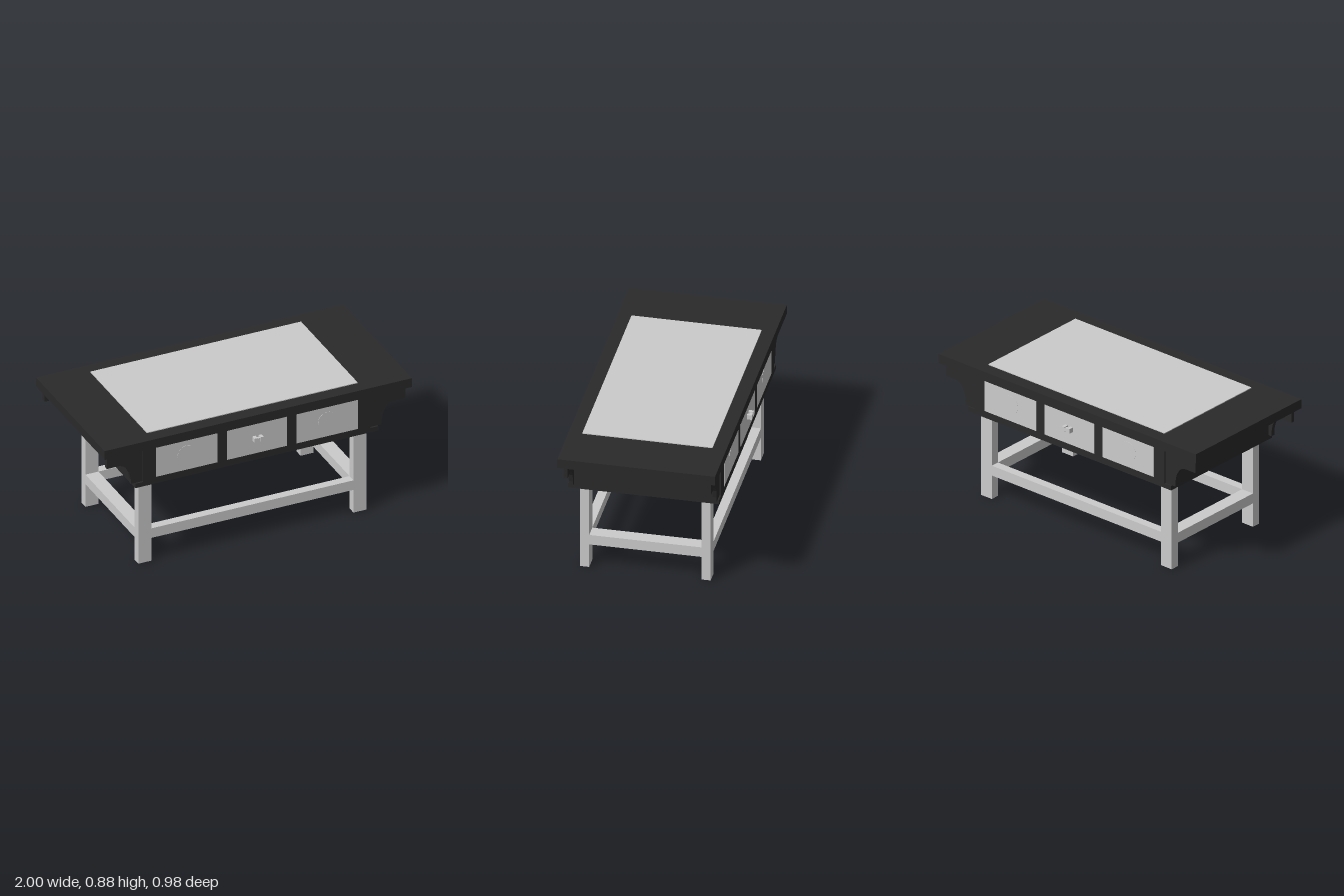
import * as THREE from 'three';

const grey = new THREE.MeshStandardMaterial({ color: 0xcccccc });
const dark = new THREE.MeshStandardMaterial({ color: 0x2a2a2a });

function mesh(name, geometry, material, parent) {
  const m = new THREE.Mesh(geometry, material);
  m.name = name;
  parent.add(m);
  return m;
}

// Box given by its extents along each axis
function box(name, [x0, x1], [y0, y1], [z0, z1], material, parent) {
  const m = mesh(name, new THREE.BoxGeometry(x1 - x0, y1 - y0, z1 - z0), material, parent);
  m.position.set((x0 + x1) / 2, (y0 + y1) / 2, (z0 + z1) / 2);
  return m;
}

function extrude(name, points, z0, z1, parent) {
  const shape = new THREE.Shape(points.map(([x, y]) => new THREE.Vector2(x, y)));
  const m = mesh(name, new THREE.ExtrudeGeometry(shape, { depth: z1 - z0, bevelEnabled: false }), dark, parent);
  m.position.z = z0;
  return m;
}

// One long side of the case: frame, corner brackets, drawers and handle
function createDrawerSide(name) {
  const side = new THREE.Group();
  side.name = name;

  // Frame with a wider bottom rail
  extrude('drawerFrame', [
    [-0.79, 0.56], [0.79, 0.56], [0.79, 0.59], [0.74, 0.59],
    [0.74, 0.815], [-0.74, 0.815], [-0.74, 0.59], [-0.79, 0.59],
  ], 0.42, 0.455, side);

  // Curved brackets under the overhanging top
  const profile = [
    [0.74, 0.59], [0.815, 0.59], [0.815, 0.62], [0.825, 0.67], [0.845, 0.705],
    [0.865, 0.722], [0.89, 0.73], [0.97, 0.73], [0.97, 0.815], [0.74, 0.815],
  ];
  for (const s of [-1, 1]) {
    const points = profile.map(([x, y]) => [s * x, y]);
    extrude(s > 0 ? 'leftBracket' : 'rightBracket', points, 0.42, 0.445, side);
  }

  // Drawer fronts
  for (const x of [[-0.657, -0.257], [-0.194, 0.194], [0.257, 0.657]]) {
    box('drawerFront', x, [0.605, 0.815], [0.44, 0.457], grey, side);
  }

  // Flush round plates on the outer drawers
  for (const x of [-0.457, 0.457]) {
    const plate = mesh('roundPlate', new THREE.CylinderGeometry(0.06, 0.06, 0.01, 32), grey, side);
    plate.rotation.x = Math.PI / 2;
    plate.position.set(x, 0.71, 0.4535);
  }

  // Bar handle on the middle drawer
  for (const s of [-1, 1]) {
    const x = [s * 0.02 - 0.01, s * 0.02 + 0.01];
    box('handlePost', x, [0.695, 0.725], [0.455, 0.488], grey, side);
  }
  box('handleBar', [-0.01, 0.01], [0.7, 0.72], [0.468, 0.486], grey, side);
  return side;
}

export function createModel() {
  const table = new THREE.Group();
  table.name = 'table';

  // Top and case
  box('tableTop', [-1, 1], [0.815, 0.875], [-0.475, 0.475], dark, table);
  box('topInlay', [-0.685, 0.685], [0.86, 0.88], [-0.392, 0.392], grey, table);
  box('case', [-0.79, 0.79], [0.56, 0.815], [-0.42, 0.42], dark, table);

  // Both long sides carry the same drawers
  table.add(createDrawerSide('frontSide'));
  const back = createDrawerSide('backSide');
  back.rotation.y = Math.PI;
  table.add(back);

  // Legs, with stretchers as thick as the legs between them
  const inOut = (s, a, b) => (s > 0 ? [a, b] : [-b, -a]);
  for (const s of [-1, 1]) {
    const legX = inOut(s, 0.657, 0.742);
    for (const t of [-1, 1]) {
      box(t > 0 ? 'frontLeg' : 'backLeg', legX, [0, 0.56], inOut(t, 0.338, 0.393), grey, table);
    }
    box('sideStretcher', legX, [0.155, 0.22], [-0.338, 0.338], grey, table);
    box('longStretcher', [-0.657, 0.657], [0.155, 0.22], inOut(s, 0.338, 0.393), grey, table);
  }
  return table;
}
